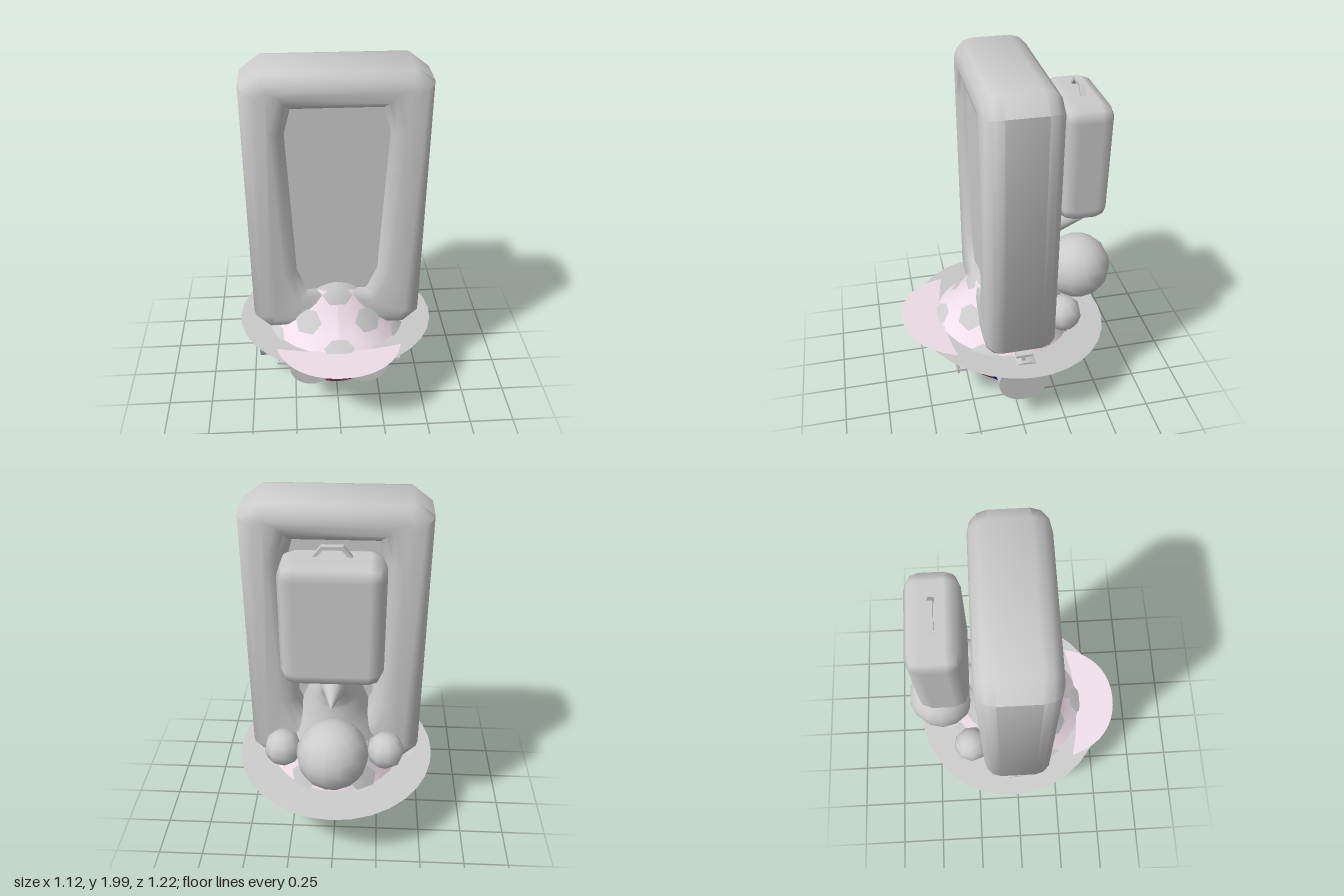
import * as THREE from 'three';
import { toCreasedNormals } from 'three/addons/utils/BufferGeometryUtils.js';
import { RoundedBoxGeometry } from 'three/addons/geometries/RoundedBoxGeometry.js';

const RAD = Math.PI / 180;
const mat = (color = 0xcccccc, side = THREE.FrontSide) => new THREE.MeshStandardMaterial({ color, side });
const grey = mat();
const greyOpen = mat(0xcccccc, THREE.DoubleSide);
const pinkOpen = mat(0xf0dfea, THREE.DoubleSide);
const magenta = mat(0xa8497d);
const blue = mat(0x0a1fa0);
const green = mat(0x109010);

export function createModel() {
  const model = new THREE.Group();

  function add(name, geometry, material = grey, x = 0, y = 0, z = 0, parent = model) {
    const mesh = new THREE.Mesh(geometry, material);
    mesh.name = name;
    mesh.position.set(x, y, z);
    parent.add(mesh);
    return mesh;
  }

  // Grid surface from fn(u, v) -> [x, y, z]
  function surface(fn, nu, nv) {
    const pos = [], idx = [];
    for (let j = 0; j <= nv; j++)
      for (let i = 0; i <= nu; i++) pos.push(...fn(i / nu, j / nv));
    for (let j = 0; j < nv; j++)
      for (let i = 0; i < nu; i++) {
        const a = j * (nu + 1) + i, b = a + 1, c = a + nu + 1, d = c + 1;
        idx.push(a, b, d, a, d, c);
      }
    const g = new THREE.BufferGeometry();
    g.setAttribute('position', new THREE.Float32BufferAttribute(pos, 3));
    g.setIndex(idx);
    g.computeVertexNormals();
    return g;
  }

  // Head: azimuth is measured from the front, elevation from the equator
  const R = 0.34;
  const onHead = (az, el, off) => {
    const r = R + off, c = Math.cos(el * RAD);
    return [r * c * Math.sin(az * RAD), 0.35 + r * Math.sin(el * RAD), -0.01 + r * c * Math.cos(az * RAD)];
  };
  add('head', new THREE.SphereGeometry(R, 40, 28), magenta, 0, 0.35, -0.01);

  // Blue patch round the back, its front ends slanting forward
  add('blueBackPatch', surface((u, v) => {
    const az = 180 + (u - 0.5) * 2 * (115 + 9 * v);
    return onHead(az, -38 + v * (Math.abs(u - 0.5) > 0.4 ? 28 : 44), 0.004);
  }, 50, 8), blue);

  // Ragged green edge below the blue patch
  add('greenFringe', surface((u, v) => {
    const zig = Math.round(u * 38) % 2, end = Math.abs(2 * u - 1) ** 4;
    const low = -58 + 4 * zig + 12 * end, high = -38 + 9 * zig;
    return onHead(76 + 208 * u, low + (high - low) * v, 0.008);
  }, 38, 5), green);
  add('greenBrow', surface((u, v) => onHead(-20 + 40 * u, 8 + 12 * v, 0.004), 10, 3), green);

  // Rows of small stars
  const stars = new THREE.Group();
  stars.name = 'stars';
  model.add(stars);
  [[0, 15, 12], [-12, 11, 17]].forEach(([el, count, step]) => {
    for (let k = 0; k < count; k++) {
      const az = 180 + (k - (count - 1) / 2) * step;
      add('star', surface((u, v) => {
        const i = Math.round(u * 10), r = v * (i % 2 ? 1.7 : 4), a = Math.PI / 2 - u * 2 * Math.PI;
        return onHead(az + r * Math.cos(a), el + r * Math.sin(a), 0.008);
      }, 10, 1), grey, 0, 0, 0, stars);
    }
  });

  // Hat: rings of [y, z, radius, backward lean], bending back into a horn
  const rings = [
    [0.375, 0, 0.44, 11], [0.47, -0.03, 0.36, 12], [0.58, -0.05, 0.3, 12], [0.7, -0.06, 0.25, 12],
    [0.82, -0.08, 0.19, 12], [0.95, -0.12, 0.14, 22], [1.04, -0.24, 0.065, 65], [1.1, -0.53, 0.004, 78],
  ];
  const onHat = (az, t, off = 0) => {
    const i = Math.min(Math.floor(t), rings.length - 2), f = t - i;
    const [y, z, r, lean] = rings[i].map((p, k) => p + (rings[i + 1][k] - p) * f);
    const s = (r + off) * Math.cos(az * RAD);
    return [(r + off) * Math.sin(az * RAD), y + s * Math.sin(lean * RAD) + off * 0.7, z + s * Math.cos(lean * RAD)];
  };
  add('hatCrown', surface((u, v) => onHat(360 * u, 3 * v), 30, 3), pinkOpen);
  add('hatHorn', surface((u, v) => onHat(360 * u, 3 + 4 * v), 30, 12), greyOpen);

  // Hexagonal patches on the crown
  const patches = new THREE.Group();
  patches.name = 'hatPatches';
  model.add(patches);
  [[1.5, 30, 14, 0.6], [2.75, 0, 18, 0.45], [0.45, 0, 12, 0.43]].forEach(([t, start, w, h]) => {
    for (let k = 0; k < 6; k++)
      add('hatPatch', surface((u, v) => {
        const a = -u * 2 * Math.PI;
        return onHat(start + 60 * k + v * w * Math.cos(a), t + v * h * Math.sin(a), 0.006);
      }, 6, 4), grey, 0, 0, 0, patches);
  });

  // Brim and front visor, both raised at the front
  const brim = add('brim', new THREE.RingGeometry(0.34, 0.56, 32), greyOpen, 0, 0.445, -0.02);
  brim.rotation.x = -95 * RAD;
  const visorShape = new THREE.Shape();
  visorShape.moveTo(-0.345, 0.34);
  visorShape.quadraticCurveTo(0, 0.43, 0.345, 0.34);
  visorShape.bezierCurveTo(0.3, 0.52, 0.17, 0.615, 0, 0.615);
  visorShape.bezierCurveTo(-0.17, 0.615, -0.3, 0.52, -0.345, 0.34);
  const visor = add('visor', new THREE.ShapeGeometry(visorShape, 10), pinkOpen, 0, 0.453, 0);
  visor.rotation.x = 85 * RAD;

  // Tall padded frame with a tapered opening; the bevel rounds its bars
  const mirrored = (half) => [...half, ...half.map(([x, y]) => [-x, y]).reverse()]
    .map(([x, y]) => new THREE.Vector2(x, y));
  const frameShape = new THREE.Shape(mirrored([[0.345, 0.57], [0.38, 0.605], [0.38, 1.88], [0.34, 1.91]]));
  frameShape.holes.push(new THREE.Path(mirrored([[0.21, 0.68], [0.29, 0.87], [0.33, 1.7], [0.28, 1.89]])));
  const frameGeo = new THREE.ExtrudeGeometry(frameShape, {
    depth: 0.2, bevelThickness: 0.095, bevelSize: 0.09, bevelSegments: 3,
  });
  add('frame', toCreasedNormals(frameGeo, 0.9), grey, 0, 0, -0.1);

  // Panel filling the opening, set close to the front
  const panelShape = new THREE.Shape(mirrored([[0.18, 0.72], [0.24, 0.87], [0.28, 1.7], [0.24, 1.84]]));
  add('framePanel', new THREE.ExtrudeGeometry(panelShape, { depth: 0.225, bevelEnabled: false }), grey, 0, 0, -0.07);

  // Pack behind the frame, with its arched carrying handle
  add('pack', new RoundedBoxGeometry(0.5, 0.64, 0.265, 1, 0.075), grey, 0, 1.51, -0.37);
  const handleShape = new THREE.Shape(mirrored([[0.1, 1.82], [0.05, 1.88]]));
  handleShape.holes.push(new THREE.Path(mirrored([[0.075, 1.825], [0.04, 1.865]])));
  add('packHandle', new THREE.ExtrudeGeometry(handleShape, { depth: 0.028, bevelEnabled: false }), grey, 0, 0, -0.384);

  // Pompoms
  add('largePompom', new THREE.SphereGeometry(0.19, 14, 10), grey, 0, 0.73, -0.427);

  for (const s of [-1, 1]) {
    add('smallPompom', new THREE.SphereGeometry(0.104, 9, 6), grey, s * 0.282, 0.63, -0.265);

    // Ear cup with its bracket
    const cup = add('earCup', new THREE.CylinderGeometry(0.142, 0.142, 0.095, 28), grey, s * 0.407, 0.315, -0.01);
    cup.rotation.z = Math.PI / 2;
    add('bracketStem', new THREE.BoxGeometry(0.03, 0.06, 0.02), grey, s * 0.42, 0.475, -0.01);
    add('bracketTop', new THREE.BoxGeometry(0.06, 0.015, 0.09), grey, s * 0.42, 0.503, -0.01);

    // Thin round lens and temple of the glasses
    const lens = add('lens', new THREE.CylinderGeometry(0.12, 0.12, 0.005, 32), grey, s * 0.155, 0.32, 0.33);
    lens.rotation.x = Math.PI / 2;
    add('hinge', new THREE.BoxGeometry(0.07, 0.015, 0.012), grey, s * 0.305, 0.365, 0.325);
    add('temple', new THREE.BoxGeometry(0.012, 0.015, 0.32), grey, s * 0.34, 0.365, 0.17);
  }
  add('glassesBridge', new THREE.BoxGeometry(0.1, 0.015, 0.012), grey, 0, 0.365, 0.335);

  return model;
}
